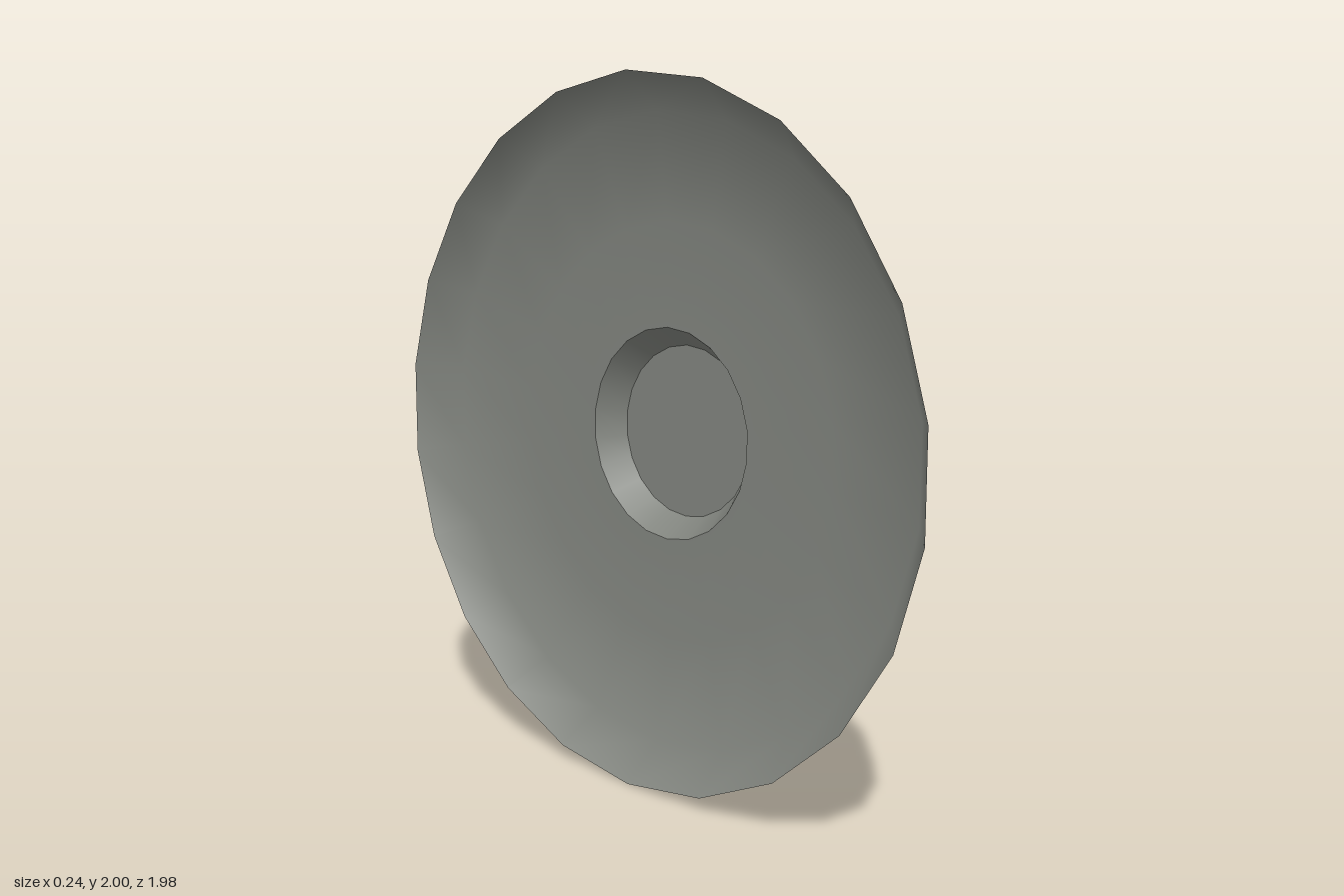
import * as THREE from 'three';

const SIDES = 22;

export function createModel() {
  const model = new THREE.Group();
  model.name = 'dishedDisc';

  const greyMetal = new THREE.MeshStandardMaterial({ color: 0x82857f, side: THREE.DoubleSide });
  greyMetal.name = 'greyMetal';

  // Spins a [radius, x] profile about the x axis, with a corner at the very top
  function addTurned(name, profile) {
    const points = profile.map(([r, x]) => new THREE.Vector2(r, x));
    const geometry = new THREE.LatheGeometry(points, SIDES, Math.PI / 2);
    geometry.rotateZ(-Math.PI / 2);
    const mesh = new THREE.Mesh(geometry, greyMetal);
    mesh.name = name;
    mesh.position.y = 1;
    model.add(mesh);
  }

  // Open-backed shell, smooth from the rim to the flat face
  addTurned('dish', [[1, -0.12], [0.9, 0], [0.6, 0.04], [0.305, 0.04]]);

  // Raised hub, hollow behind, with sharp edges between wall and cap
  addTurned('hubWall', [[0.305, 0.04], [0.25, 0.12]]);
  addTurned('hubCap', [[0.25, 0.12], [0, 0.12]]);

  return model;
}
